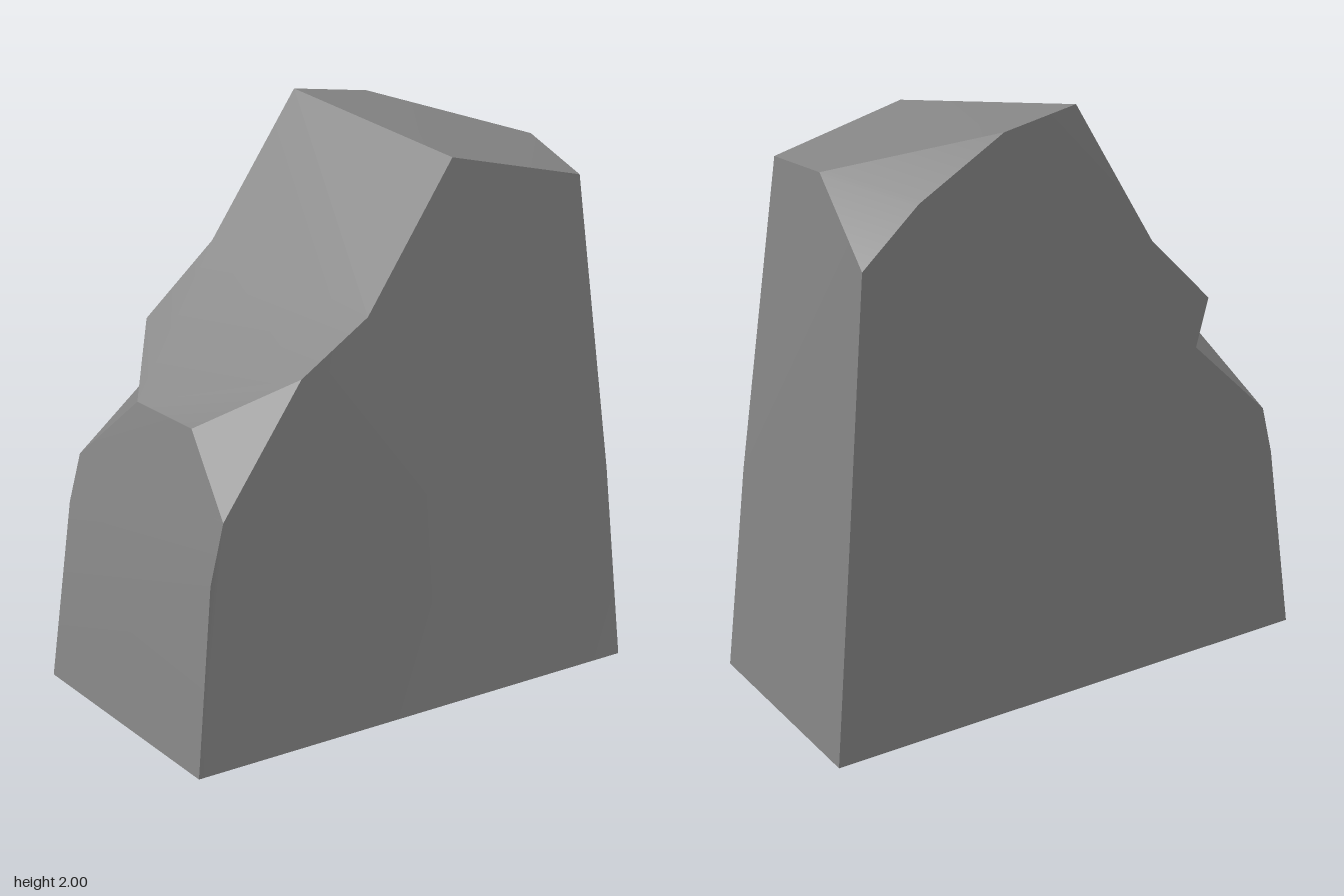
import * as THREE from 'three';
import { toCreasedNormals } from 'three/addons/utils/BufferGeometryUtils.js';

// Corner points: f = front rim, b = back rim, m = points between the rims
const P = {
  f0: [-0.85, 0, 0.445], f1: [-0.77, 0.66, 0.405], f2: [-0.71, 0.86, 0.387],
  f3: [-0.41, 1.28, 0.365], f4: [-0.16, 1.44, 0.355], f5: [0.155, 1.92, 0.35],
  f6: [0.655, 1.79, 0.353], f7: [0.785, 0.72, 0.4], f8: [0.84, 0, 0.445],
  b0: [-0.97, 0, -0.445], b1: [-0.885, 0.66, -0.422], b2: [-0.84, 0.83, -0.42],
  b3: [-0.52, 1.11, -0.417], b4: [-0.575, 1.275, -0.412], b5: [-0.32, 1.51, -0.41],
  b6: [0, 2, -0.4], b7: [0.3, 1.95, -0.422], b8: [0.625, 1.77, -0.425],
  b9: [0.835, 1.59, -0.425], b10: [0.897, 0.72, -0.42], b11: [0.97, 0, -0.445],
  m0: [-0.7, 1.1, 0.16], m1: [-0.738, 1.09, -0.16], m2: [0.745, 1.82, -0.06],
};

// Each face is one or more outlines, counter-clockwise from outside
const FACES = {
  frontFace: ['f0 f8 f7 f6 f5 f4 f3 f2 f1'],
  backFace: ['b11 b0 b1 b2 b3 b4 b5 b6 b7 b8 b9 b10'],
  rightSide: ['b0 f0 f1 b1', 'b1 f1 f2 b2', 'b2 f2 m0 m1'],
  leftSide: ['f8 b11 b10 f7', 'f7 b10 b9 m2 f6'],
  brokenShoulder: ['f3 f4 b5 b4 m1 m0'],
  brokenSlope: ['f4 f5 b6 b5'],
  brokenTop: ['f5 f6 m2 b7 b6'],
  frontChip: ['f2 f3 m0'],
  backChip: ['b4 b3 m1', 'b3 b2 m1'],
  cornerChip: ['b7 m2 b9 b8'],
  underside: ['b0 b11 f8 f0'],
};

// Triangulate an outline in the plane of its average normal
function fillOutline(names, out) {
  const pts = names.split(' ').map((k) => new THREE.Vector3(...P[k]));
  const n = new THREE.Vector3();
  pts.forEach((p, i) => n.add(p.clone().cross(pts[(i + 1) % pts.length])));
  n.normalize();
  const u = pts[1].clone().sub(pts[0]);
  u.addScaledVector(n, -u.dot(n)).normalize();
  const v = n.clone().cross(u);
  const flat = pts.map((p) => new THREE.Vector2(p.dot(u), p.dot(v)));
  for (const [a, b, c] of THREE.ShapeUtils.triangulateShape(flat, [])) {
    const ccw = THREE.ShapeUtils.area([flat[a], flat[b], flat[c]]) > 0;
    for (const i of ccw ? [a, b, c] : [a, c, b]) out.push(...pts[i].toArray());
  }
}

export function createModel() {
  const group = new THREE.Group();
  group.name = 'brokenStoneSlab';
  const stone = new THREE.MeshStandardMaterial({ color: 0x848484 });
  stone.name = 'greyStone';

  for (const [name, outlines] of Object.entries(FACES)) {
    const positions = [];
    outlines.forEach((o) => fillOutline(o, positions));
    const geometry = new THREE.BufferGeometry();
    geometry.setAttribute('position', new THREE.Float32BufferAttribute(positions, 3));
    const mesh = new THREE.Mesh(toCreasedNormals(geometry, 0.5), stone);
    mesh.name = name;
    group.add(mesh);
  }
  return group;
}
